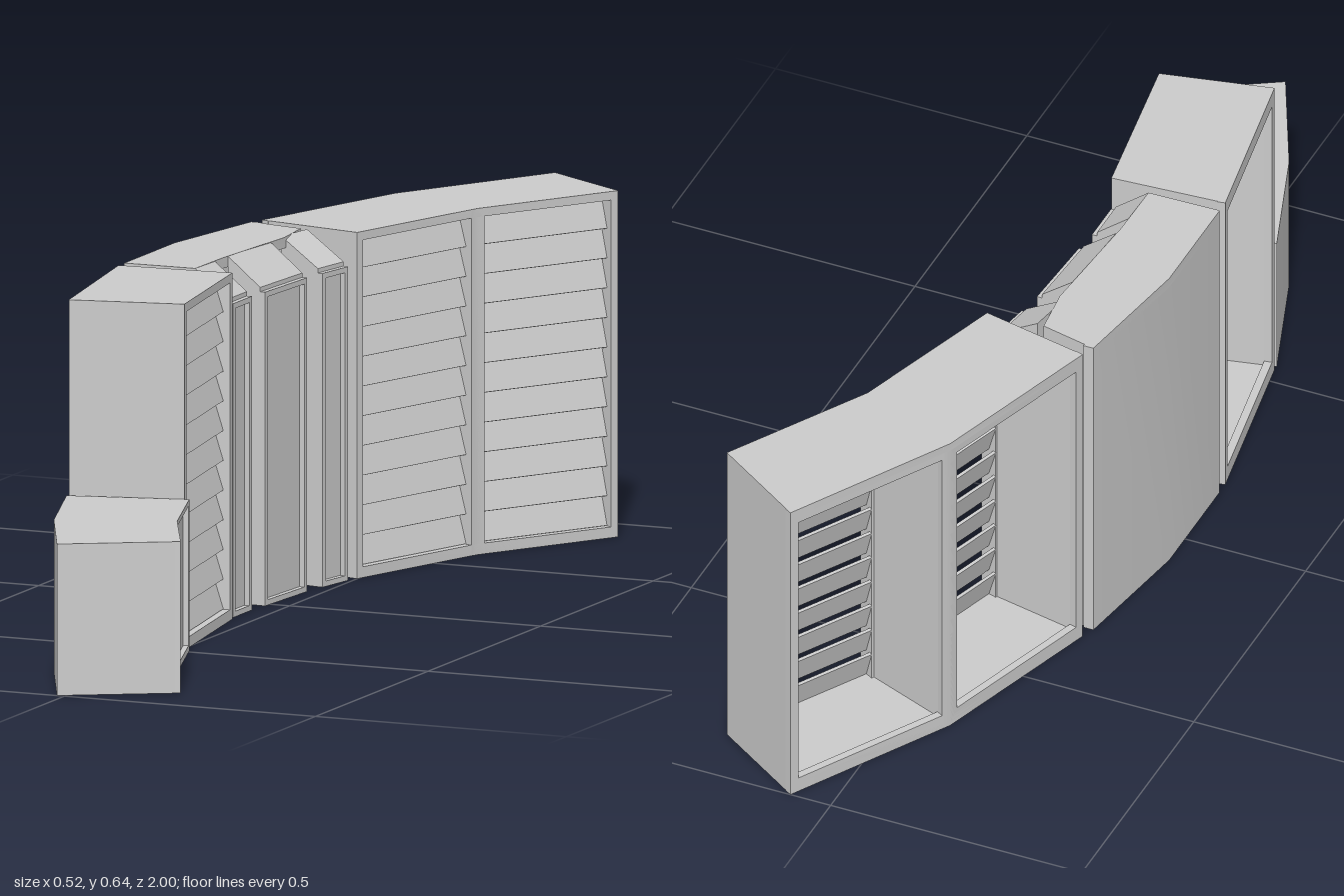
import * as THREE from 'three';
import { toCreasedNormals } from 'three/addons/utils/BufferGeometryUtils.js';

const material = new THREE.MeshStandardMaterial({ color: 0xcccccc, side: THREE.DoubleSide });
const HEIGHT = 0.64;

function addMesh(parent, name, geometry) {
  const mesh = new THREE.Mesh(geometry, material);
  mesh.name = name;
  parent.add(mesh);
  return mesh;
}

// Vertical prism over a plan outline of [x, z] points
function prism(parent, name, outline, y0, y1) {
  const shape = new THREE.Shape(outline.map(([x, z]) => new THREE.Vector2(x, -z)));
  const geometry = new THREE.ExtrudeGeometry(shape, { depth: y1 - y0, bevelEnabled: false });
  geometry.rotateX(-Math.PI / 2).translate(0, y0, 0);
  return addMesh(parent, name, toCreasedNormals(geometry, 0.5));
}

const lerp = (a, b, t) => [a[0] + (b[0] - a[0]) * t, a[1] + (b[1] - a[1]) * t];
const toward = (a, b, d) => lerp(a, b, d / Math.hypot(b[0] - a[0], b[1] - a[1]));

// Group whose x runs from plan point a to b and whose z points out of the face
function faceGroup(parent, name, a, b) {
  const group = new THREE.Group();
  group.name = name;
  group.position.set(a[0], 0, a[1]);
  group.rotation.y = Math.atan2(a[1] - b[1], b[0] - a[0]);
  parent.add(group);
  return { group, width: Math.hypot(b[0] - a[0], b[1] - a[1]) };
}

// Rectangular frame with one opening, its front at z = 0
function frame(group, name, width, height, side, bottom, top, depth) {
  const shape = new THREE.Shape();
  shape.moveTo(0, 0).lineTo(width, 0).lineTo(width, height).lineTo(0, height).closePath();
  const hole = new THREE.Path();
  hole.moveTo(side, bottom).lineTo(side, height - top)
    .lineTo(width - side, height - top).lineTo(width - side, bottom).closePath();
  shape.holes.push(hole);
  const geometry = new THREE.ExtrudeGeometry(shape, { depth, bevelEnabled: false });
  addMesh(group, name, geometry.translate(0, 0, -depth));
}

// Louvred bay: frame with slats whose lower edges lean outward
function louvreBay(parent, a, b) {
  const { group, width } = faceGroup(parent, 'louvreBay', a, b);
  const side = 0.016, bottom = 0.02, top = 0.016, count = 11;
  frame(group, 'louvreFrame', width, HEIGHT, side, bottom, top, 0.035);
  const pitch = (HEIGHT - bottom - top) / count;
  for (let i = 0; i < count; i++) {
    const slat = addMesh(group, 'slat', new THREE.BoxGeometry(width - 2 * side, pitch * 1.04, 0.006));
    slat.position.set(width / 2, bottom + pitch * (i + 0.5), -0.024);
    slat.rotation.x = -0.3;
  }
}

// Hollow cabinet: louvres on the concave side, open frames on the convex side
function louvredCabinet(parent, name, outer, inner) {
  const cabinet = new THREE.Group();
  cabinet.name = name;
  parent.add(cabinet);
  const outline = [...outer, ...[...inner].reverse()];
  prism(cabinet, 'floor', outline, 0, 0.02);
  prism(cabinet, 'roof', outline, HEIGHT - 0.016, HEIGHT);
  const last = outer.length - 1;
  for (let i = 0; i <= last; i++) {
    const wall = [];
    const before = i > 0 ? i - 1 : 0, after = i < last ? i + 1 : last;
    const step = (pts, j) => (j === i ? pts[i] : toward(pts[i], pts[j], 0.016));
    wall.push(step(outer, before));
    if (i > 0 && i < last) wall.push(outer[i]);
    wall.push(step(outer, after), step(inner, after));
    if (i > 0 && i < last) wall.push(inner[i]);
    wall.push(step(inner, before));
    prism(cabinet, i > 0 && i < last ? 'divider' : 'endWall', wall, 0, HEIGHT);
  }
  for (let i = 0; i < last; i++) {
    louvreBay(cabinet, inner[i + 1], inner[i]);
    const { group, width } = faceGroup(cabinet, 'openBay', outer[i], outer[i + 1]);
    frame(group, 'openFrame', width, HEIGHT, 0.018, 0.03, 0.03, 0.015);
  }
}

// Column with a sloping top and a recessed panel in front
function column(parent, a, b, depth) {
  const { group, width } = faceGroup(parent, 'panelColumn', a, b);
  const recess = 0.01;
  const profile = new THREE.Shape([[recess, 0], [depth, 0], [depth, HEIGHT], [recess, 0.588]]
    .map(([u, v]) => new THREE.Vector2(u, v)));
  const geometry = new THREE.ExtrudeGeometry(profile, { depth: width, bevelEnabled: false });
  addMesh(group, 'columnBody', geometry.rotateY(Math.PI / 2));
  frame(group, 'columnFrame', width, 0.58, 0.011, 0.01, 0.01, recess);
}

export function createModel() {
  const model = new THREE.Group();
  model.name = 'curvedCabinetRow';

  // Louvred cabinets, listed from the back end forward
  louvredCabinet(model, 'doubleCabinet',
    [[0.08, -1], [-0.1, -0.69], [-0.21, -0.345]],
    [[0.26, -0.88], [0.1, -0.61], [0, -0.3]]);
  louvredCabinet(model, 'singleCabinet',
    [[-0.26, 0.18], [-0.2, 0.535]],
    [[-0.04, 0.165], [0.01, 0.49]]);

  // Middle section: curved outer wall, roof, end walls and three columns
  const middle = new THREE.Group();
  middle.name = 'middleSection';
  model.add(middle);
  const outer = [[-0.22, -0.32], [-0.26, -0.07], [-0.26, 0.155]];
  const inner = [[-0.11, -0.295], [-0.1, -0.2], [-0.118, 0.03], [-0.12, 0.152]];
  prism(middle, 'roof', [...outer, ...[...inner].reverse()], HEIGHT - 0.02, HEIGHT);
  prism(middle, 'outerWall',
    [...outer, ...[...outer].reverse().map(([x, z]) => [x + 0.02, z])], 0, HEIGHT);
  for (const [o, i, dz] of [[outer[0], inner[0], 0.015], [outer[2], inner[3], -0.015]]) {
    prism(middle, 'endWall', [o, i, [i[0], i[1] + dz], [o[0], o[1] + dz]], 0, HEIGHT);
  }
  column(middle, [-0.045, 0.152], [-0.045, 0.067], 0.075);
  column(middle, [-0.04, 0.02], [-0.03, -0.145], 0.076);
  column(middle, [-0.022, -0.195], [-0.008, -0.278], 0.09);

  // Low cabinet at the front end with two recessed panels
  const low = new THREE.Group();
  low.name = 'lowCabinet';
  model.add(low);
  const lowOuter = [[-0.2, 0.545], [-0.12, 0.78], [-0.015, 1]];
  const lowInner = [[0.02, 0.49], [0.09, 0.7], [0.18, 0.885]];
  const core = lowInner.map((p, i) => toward(p, lowOuter[i], 0.01));
  prism(low, 'lowBody', [...lowOuter, ...core.reverse()], 0, 0.28);
  for (let i = 0; i < 2; i++) {
    const { group, width } = faceGroup(low, 'lowPanel', lowInner[i + 1], lowInner[i]);
    frame(group, 'lowPanelFrame', width, 0.28, 0.013, 0.012, 0.01, 0.012);
  }
  return model;
}
